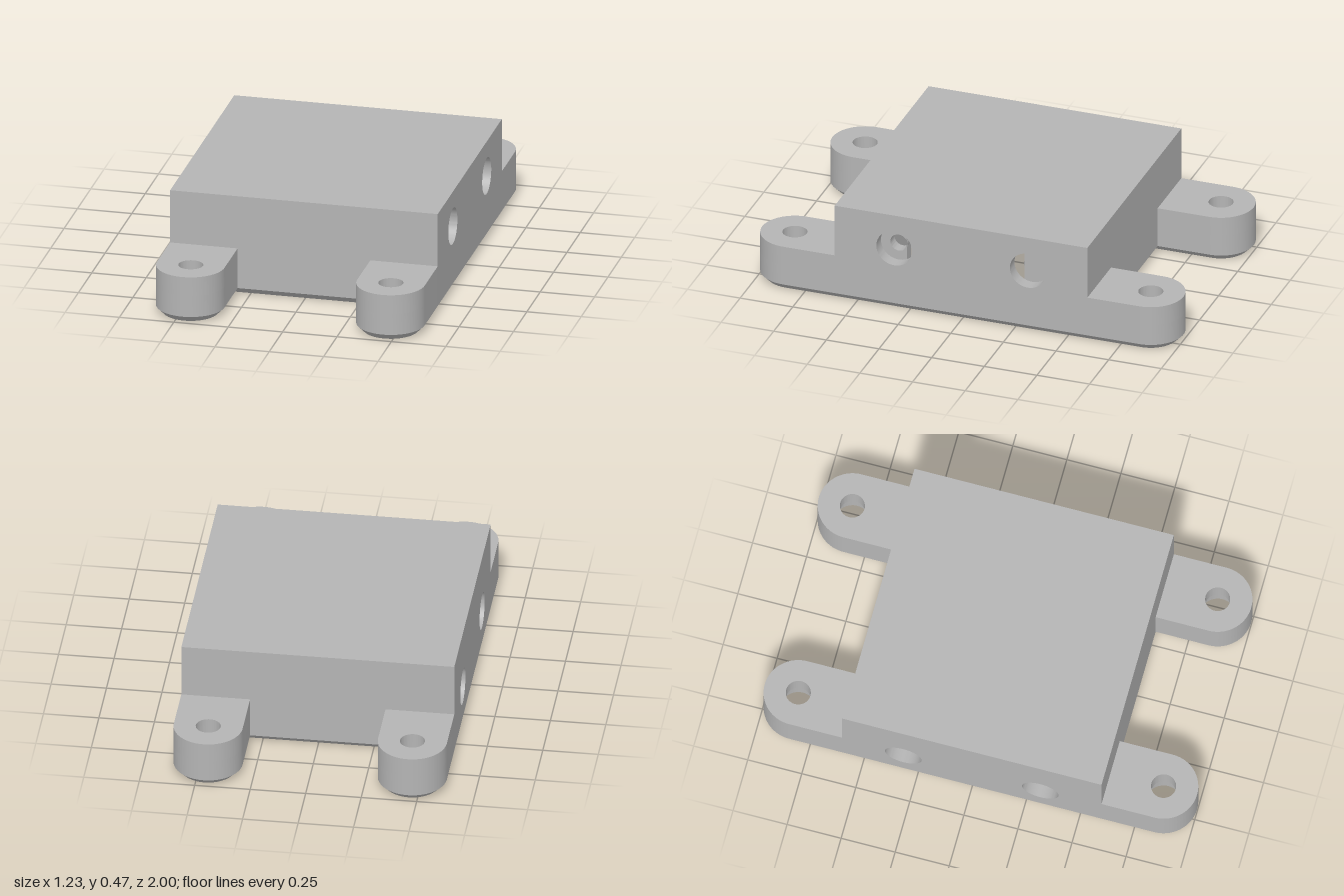
import * as THREE from 'three';
import { toCreasedNormals } from 'three/addons/utils/BufferGeometryUtils.js';

// Main dimensions
const HX = 0.615, HZ = 0.6, TOP = 0.47, ROOF = 0.375, CHAMFER = 0.03;
const EAR_X = 0.46, EAR_Z = 0.845, EAR_R = 0.155, EAR_TOP = 0.22;
const CAV_X = 0.5, CAV_Z = 0.47, RECESS_X = 0.555;
const BORE_Z = 0.317;
const SIDES = [
  { name: 'left', s: 1, boreY: 0.305, recess: 0.28 },
  { name: 'right', s: -1, boreY: 0.19, recess: 0.225 },
];

export function createModel() {
  const group = new THREE.Group();
  const grey = new THREE.MeshStandardMaterial({ color: 0xb4b4b4, side: THREE.DoubleSide });
  grey.name = 'grey';

  const add = (name, geometry) => {
    const mesh = new THREE.Mesh(toCreasedNormals(geometry, 0.5), grey);
    mesh.name = name;
    group.add(mesh);
  };
  const box = (name, x0, x1, y0, y1, z0, z1) => add(name,
    new THREE.BoxGeometry(x1 - x0, y1 - y0, z1 - z0)
      .translate((x0 + x1) / 2, (y0 + y1) / 2, (z0 + z1) / 2));
  const circle = (x, y, r) => new THREE.Path().absarc(x, y, r, 0, Math.PI * 2, true);
  const extrude = (shape, depth) =>
    new THREE.ExtrudeGeometry(shape, { depth, bevelEnabled: false, curveSegments: 32 });
  const rectangle = (x0, x1, y0, y1) => new THREE.Shape([
    new THREE.Vector2(x0, y0), new THREE.Vector2(x1, y0),
    new THREE.Vector2(x1, y1), new THREE.Vector2(x0, y1)]);

  // Closed strip joining a lower loop of points to an upper one
  const band = (name, lower, y0, upper, y1) => {
    const pos = [];
    lower.forEach((p, i) => {
      const j = (i + 1) % lower.length, q = lower[j], P = upper[i], Q = upper[j];
      pos.push(p.x, y0, p.y, P.x, y1, P.y, q.x, y0, q.y);
      pos.push(P.x, y1, P.y, Q.x, y1, Q.y, q.x, y0, q.y);
    });
    const g = new THREE.BufferGeometry();
    g.setAttribute('position', new THREE.Float32BufferAttribute(pos, 3));
    g.computeVertexNormals();
    add(name, g);
  };

  // Plan outline with four rounded ears, shrunk by an inset
  const outline = (inset) => {
    const pts = [], r = EAR_R - inset, z = HZ - inset;
    const arc = (cx, cz, start) => {
      for (let i = 0; i <= 32; i++) {
        const a = start + (Math.PI * i) / 32;
        pts.push(new THREE.Vector2(cx + r * Math.cos(a), cz + r * Math.sin(a)));
      }
    };
    arc(EAR_X, EAR_Z, 0);
    pts.push(new THREE.Vector2(EAR_X - r, z), new THREE.Vector2(-EAR_X + r, z));
    arc(-EAR_X, EAR_Z, 0);
    arc(-EAR_X, -EAR_Z, Math.PI);
    pts.push(new THREE.Vector2(-EAR_X + r, -z), new THREE.Vector2(EAR_X - r, -z));
    arc(EAR_X, -EAR_Z, Math.PI);
    return pts;
  };

  // Cavity outline, widened between the bosses on each side
  const cavity = [];
  for (const { s, recess } of SIDES) {
    for (const [x, z] of [[CAV_X, CAV_Z], [CAV_X, recess], [RECESS_X, recess],
      [RECESS_X, -recess], [CAV_X, -recess], [CAV_X, -CAV_Z]]) {
      cavity.push(new THREE.Vector2(s * x, s * z));
    }
  }

  // Chamfered underside with cavity opening and ear counterbores
  const underside = new THREE.Shape(outline(CHAMFER));
  underside.holes.push(new THREE.Path(cavity));
  band('chamfer', outline(CHAMFER), 0, outline(0), CHAMFER);
  band('cavityRim', cavity, 0, cavity, CHAMFER);
  for (const sx of [1, -1]) for (const sz of [1, -1]) {
    const hole = circle(sx * EAR_X, sz * EAR_Z, 0.083);
    underside.holes.push(hole);
    const rim = hole.getPoints(32).slice(0, -1);
    band('counterboreRim', rim, 0, rim, CHAMFER);
  }
  add('underside', new THREE.ShapeGeometry(underside, 32).rotateX(Math.PI / 2));

  // Mounting ears: wide bore below, narrow bore above
  for (const sx of [1, -1]) for (const sz of [1, -1]) {
    for (const [y0, y1, r] of [[CHAMFER, 0.13, 0.083], [0.13, EAR_TOP, 0.056]]) {
      const ear = new THREE.Shape();
      ear.moveTo(EAR_X * sx + EAR_R, sz * HZ);
      ear.lineTo(EAR_X * sx + EAR_R, sz * EAR_Z);
      ear.absarc(EAR_X * sx, sz * EAR_Z, EAR_R, 0, Math.PI * sz, sz < 0);
      ear.lineTo(EAR_X * sx - EAR_R, sz * HZ);
      ear.holes.push(circle(EAR_X * sx, sz * EAR_Z, r));
      add('mountingEar', extrude(ear, y1 - y0).rotateX(Math.PI / 2).translate(0, y1, 0));
    }
  }

  // Side walls with counterbored screw holes and inner bosses
  for (const { name, s, boreY, recess } of SIDES) {
    const place = (shape, x0, x1) =>
      extrude(shape, x1 - x0).rotateY(Math.PI / 2).translate(s > 0 ? x0 : -x1, 0, 0);
    const wall = rectangle(-HZ, HZ, CHAMFER, TOP);
    for (const e of [1, -1]) wall.holes.push(circle(e * BORE_Z, boreY, 0.085));
    add(name + 'Wall', place(wall, RECESS_X, HX));
    for (const e of [1, -1]) {
      const boss = rectangle(Math.min(e * recess, e * HZ), Math.max(e * recess, e * HZ), CHAMFER, TOP);
      boss.holes.push(circle(e * BORE_Z, boreY, 0.04));
      add(name + 'Boss', place(boss, CAV_X, RECESS_X));
    }
  }

  // End walls and roof
  box('frontWall', -CAV_X, CAV_X, CHAMFER, TOP, CAV_Z, HZ);
  box('backWall', -CAV_X, CAV_X, CHAMFER, TOP, -HZ, -CAV_Z);
  box('roof', -CAV_X, CAV_X, ROOF, TOP, -CAV_Z, CAV_Z);
  for (const { s, recess } of SIDES) {
    box('roofEdge', Math.min(s * CAV_X, s * RECESS_X), Math.max(s * CAV_X, s * RECESS_X),
      ROOF, TOP, -recess, recess);
  }
  return group;
}
